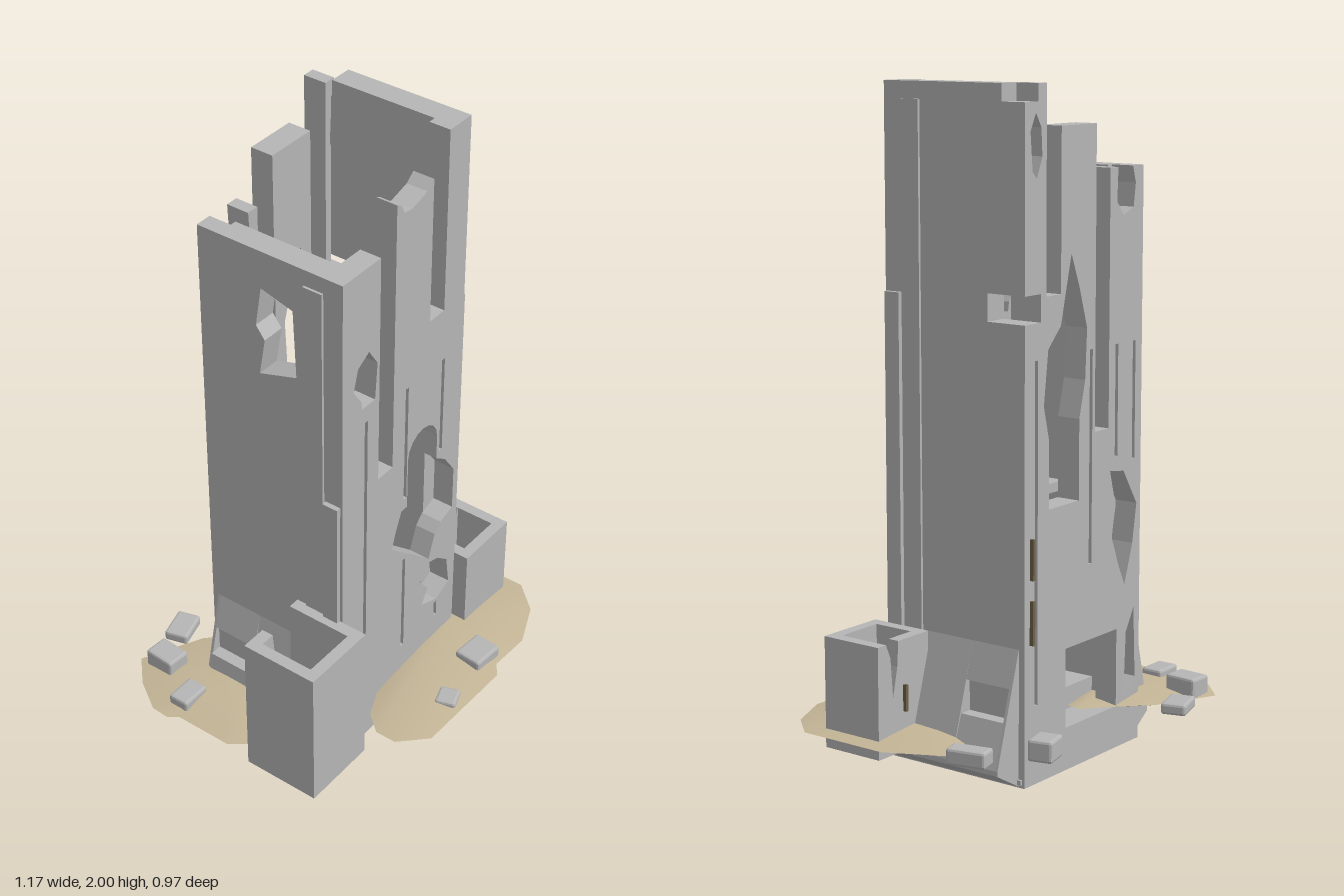
import * as THREE from 'three';
import { RoundedBoxGeometry } from 'three/addons/geometries/RoundedBoxGeometry.js';

const stone = new THREE.MeshStandardMaterial({ color: 0xb6b6b6, flatShading: true });
stone.name = 'stone';
const sand = new THREE.MeshStandardMaterial({ color: 0xc4b596, side: THREE.DoubleSide });
sand.name = 'sand';
const rust = new THREE.MeshStandardMaterial({ color: 0x6e6248 });
rust.name = 'rust';

const pts = (list) => list.map(([x, y]) => new THREE.Vector2(x, y));
const rect = (x0, x1, y0, y1) => [[x0, y0], [x1, y0], [x1, y1], [x0, y1]];

function add(group, name, geometry, material = stone) {
  const mesh = new THREE.Mesh(geometry, material);
  mesh.name = name;
  group.add(mesh);
  return mesh;
}

// Box given by its extents
function block(group, name, x0, x1, y0, y1, z0, z1, material = stone) {
  const mesh = add(group, name, new THREE.BoxGeometry(x1 - x0, y1 - y0, z1 - z0), material);
  mesh.position.set((x0 + x1) / 2, (y0 + y1) / 2, (z0 + z1) / 2);
  return mesh;
}

// Flat plate with openings, running from z0 to z1
function plate(group, name, outline, holes, z0, z1) {
  const shape = new THREE.Shape(pts(outline));
  shape.holes = holes.map((h) => new THREE.Path(pts(h)));
  const geometry = new THREE.ExtrudeGeometry(shape, { depth: z1 - z0, bevelEnabled: false });
  geometry.translate(0, 0, z0);
  return add(group, name, geometry);
}

// Plate drawn in (-z, y), running from x0 to x1
function sidePlate(group, name, outline, holes, x0, x1) {
  const mesh = plate(group, name, outline, holes, x0, x1);
  mesh.geometry.rotateY(Math.PI / 2);
  return mesh;
}

// Slit openings from [x, bottom, top]
const slits = (list) => list.map(([x, y0, y1]) => rect(x - 0.007, x + 0.007, y0, y1));

function arch(x0, x1, spring, n = 8) {
  const r = (x1 - x0) / 2;
  return Array.from({ length: n + 1 }, (_, i) => {
    const a = (Math.PI * i) / n;
    return [(x0 + x1) / 2 - r * Math.cos(a), spring + r * Math.sin(a)];
  });
}

function buildTower(tower) {
  // Front wall: broken skyline, arched window, blast holes, grooves in the outer skin
  const frontLine = [[-0.29, 0], [0.29, 0], [0.29, 2], [0.19, 2], [0.19, 1.41], [0.12, 1.41], [0.12, 1.88],
    [0.09, 1.855], [0.02, 1.835], [-0.015, 1.84], [-0.03, 1.87], [-0.05, 1.88],
    [-0.05, 0.99], [-0.12, 0.99], [-0.12, 1.75], [-0.29, 1.75]];
  const frontHoles = [
    [...arch(0.028, 0.175, 0.965), [0.175, 0.88], [0.22, 0.85], [0.27, 0.78], [0.27, 0.63], [0.21, 0.61],
      [0.18, 0.58], [0.15, 0.5], [0.06, 0.58], [-0.045, 0.67], [-0.03, 0.72], [0.0, 0.79], [0.028, 0.79]],
    [[0.13, 0.49], [0.2, 0.47], [0.25, 0.43], [0.265, 0.33], [0.2, 0.3], [0.12, 0.33], [0.15, 0.38], [0.11, 0.43]],
    [[-0.17, 1.47], [-0.13, 1.41], [-0.14, 1.29], [-0.2, 1.29], [-0.205, 1.32], [-0.24, 1.37], [-0.22, 1.44]],
  ];
  const frontSlits = slits([[-0.18, 0.235, 1.235], [0.018, 0.235, 0.59], [0.016, 0.83, 1.235],
    [0.195, 0.9, 1.235], [0.195, 0.235, 0.29]]);
  plate(tower, 'frontWall', frontLine, frontHoles, 0.16, 0.216);
  plate(tower, 'frontWallSkin', frontLine, [...frontHoles, ...frontSlits], 0.216, 0.23);

  // Back wall: same skyline with a side notch, a doorway and ragged openings
  const backLine = [[-0.29, 0], [0.29, 0], [0.29, 1.34], [0.215, 1.34], [0.215, 1.42], [0.29, 1.42],
    [0.29, 1.95], [0.23, 1.95], [0.23, 2], [0.19, 2], [0.19, 1.41], [0.12, 1.41], [0.12, 1.88], [-0.05, 1.88],
    [-0.05, 0.99], [-0.12, 0.99], [-0.12, 1.75], [-0.16, 1.75], [-0.155, 1.65], [-0.19, 1.61],
    [-0.24, 1.63], [-0.25, 1.7], [-0.235, 1.75], [-0.29, 1.75]];
  const backHoles = [
    [[0.175, 0.8], [0.028, 0.8], [0.028, 1.04], [0.0, 1.15], [-0.008, 1.3], [0.03, 1.42], [0.07, 1.52],
      [0.1, 1.4], [0.12, 1.32], [0.18, 1.26], [0.2, 1.1], [0.175, 1.0]],
    rect(-0.17, 0.09, 0.13, 0.37),
    [[-0.13, 0.86], [-0.2, 0.85], [-0.27, 0.74], [-0.25, 0.62], [-0.21, 0.5], [-0.18, 0.56], [-0.14, 0.66], [-0.16, 0.75]],
    [[-0.21, 0.15], [-0.27, 0.2], [-0.26, 0.42], [-0.22, 0.35]],
    [[0.24, 1.92], [0.265, 1.87], [0.255, 1.76], [0.235, 1.74], [0.21, 1.8], [0.215, 1.88]],
  ];
  const backSlits = slits([[-0.03, 0.6, 1.235], [-0.16, 0.9, 1.235], [-0.25, 0.88, 1.235], [0.235, 0.235, 1.235]]);
  plate(tower, 'backWall', backLine, backHoles, -0.256, -0.195);
  plate(tower, 'backWallSkin', backLine, [...backHoles, ...backSlits], -0.27, -0.256);

  // Side walls
  sidePlate(tower, 'leftWall', [[-0.16, 0], [0.195, 0], [0.195, 1.34], [0.14, 1.34], [0.14, 1.42],
    [0.195, 1.42], [0.195, 1.95], [0.19, 1.95], [0.19, 2], [-0.16, 2]], [], 0.215, 0.29);
  sidePlate(tower, 'rightWall', rect(-0.16, 0.195, 0, 1.75),
    [[[-0.07, 1.38], [-0.06, 1.6], [0.05, 1.63], [0.07, 1.5], [0.04, 1.46], [0.06, 1.34]]], -0.29, -0.215);

  // Base, floors and remains of the upper storey
  block(tower, 'base', -0.285, 0.285, 0.004, 0.12, -0.265, 0.225);
  block(tower, 'baseLip', -0.298, 0.298, 0.01, 0.025, -0.262, 0.222);
  block(tower, 'floor', -0.215, 0.215, 0.12, 0.19, -0.15, 0.16);
  block(tower, 'upperFloorFront', -0.215, 0.095, 0.76, 0.79, 0.06, 0.165);
  block(tower, 'upperFloorSide', -0.215, -0.13, 0.76, 0.79, -0.04, 0.06);

  // Pilasters and flared footings on both sides
  for (const [s, tall, low, reach] of [[1, 1.95, 1.4, 0.39], [-1, 1.7, 0.99, 0.37]]) {
    const span = (a, b) => (s > 0 ? [a, b] : [-b, -a]);
    block(tower, 'tallPilaster', ...span(0.285, 0.298), 0.02, tall, 0.1, 0.165);
    block(tower, 'lowPilaster', ...span(0.285, 0.306), 0.02, low, 0.17, 0.222);
    const full = [[0.285, 0], [reach, 0.06], [reach, 0.075], [0.29, 0.41], [0.285, 0.41]];
    const notched = [[0.285, 0], [reach, 0.06], [reach, 0.075], [0.346, 0.205], [0.306, 0.205],
      [0.306, 0.3], [0.322, 0.3], [0.29, 0.41], [0.285, 0.41]];
    const flip = (list) => list.map(([x, y]) => [s * x, y]);
    plate(tower, 'footing', flip(full), [], -0.085, 0.2);
    plate(tower, 'notchedFooting', flip(notched), [], -0.24, -0.085);
    plate(tower, 'footingEnd', flip(full), [], -0.25, -0.24);
  }
}

// Open-topped side turret with a broken back wall
function buildTurret(name, x0, x1, z0, z1, top, floor, t, backLine) {
  const g = new THREE.Group();
  g.name = name;
  block(g, 'turretFront', x0, x1, 0.08, top, z1 - t, z1);
  block(g, 'turretSideA', x0, x0 + t, 0.08, top, z0, z1 - t);
  block(g, 'turretSideB', x1 - t, x1, 0.08, top, z0, z1 - t);
  plate(g, 'turretBack', [[x0 + t, 0.08], [x1 - t, 0.08], ...backLine], [], z0, z0 + t);
  block(g, 'turretFloor', x0 + t, x1 - t, 0.08, floor, z0 + t, z1 - t);
  return g;
}

// Lens-shaped drift: outline rings shrinking to a centre, domed above and below
function drift(outline, cx, cz, up, down) {
  const n = outline.length, rings = 5, pos = [], idx = [];
  for (const [h, side] of [[up, 1], [-down, -1]]) {
    const base = pos.length / 3;
    for (let r = 0; r <= rings; r++) {
      const k = r / rings;
      for (const [x, z] of outline) pos.push(cx + (x - cx) * k, 0.13 + h * (1 - k * k), cz + (z - cz) * k);
    }
    for (let r = 0; r < rings; r++) for (let i = 0; i < n; i++) {
      const a = base + r * n + i, b = base + r * n + ((i + 1) % n);
      if (side > 0) idx.push(a, b, b + n, a, b + n, a + n);
      else idx.push(a, b + n, b, a, a + n, b + n);
    }
  }
  // Consistent order: outlines run clockwise or not, so check the signed area
  const area = outline.reduce((s, [x, z], i) => {
    const [x2, z2] = outline[(i + 1) % n];
    return s + x * z2 - x2 * z;
  }, 0);
  if (area < 0) for (let i = 0; i < idx.length; i += 3) [idx[i + 1], idx[i + 2]] = [idx[i + 2], idx[i + 1]];
  for (let i = 0; i < idx.length; i += 3) [idx[i + 1], idx[i + 2]] = [idx[i + 2], idx[i + 1]];
  const g = new THREE.BufferGeometry();
  g.setAttribute('position', new THREE.Float32BufferAttribute(pos, 3));
  g.setIndex(idx);
  g.computeVertexNormals();
  return g;
}

export function createModel() {
  const model = new THREE.Group();
  model.name = 'ruinedTower';
  const tower = new THREE.Group();
  tower.name = 'tower';
  buildTower(tower);
  model.add(tower);

  // Side turrets
  model.add(buildTurret('largeTurret', -0.545, -0.293, 0.065, 0.318, 0.56, 0.145, 0.038,
    [[-0.331, 0.22], [-0.36, 0.3], [-0.39, 0.27], [-0.42, 0.42], [-0.45, 0.46], [-0.46, 0.56], [-0.507, 0.56]]));
  model.add(buildTurret('smallTurret', 0.305, 0.53, 0.07, 0.272, 0.415, 0.1, 0.036,
    [[0.494, 0.415], [0.475, 0.37], [0.465, 0.25], [0.445, 0.34], [0.44, 0.415], [0.341, 0.415]]));

  // Sand drifts
  add(model, 'frontDrift', drift([[-0.25, 0.33], [-0.2, 0.27], [0.0, 0.18], [0.2, 0.1], [0.35, 0.03], [0.37, -0.1],
    [0.4, -0.165], [0.44, -0.185], [0.5, -0.14], [0.53, -0.08], [0.58, 0.02], [0.58, 0.31], [0.5, 0.4], [0.36, 0.46],
    [0.22, 0.455], [0.18, 0.485], [-0.17, 0.48], [-0.25, 0.4]], 0.26, 0.23, 0.025, 0.045), sand);
  add(model, 'backDrift', drift([[-0.44, -0.455], [-0.35, -0.41], [-0.25, -0.36], [-0.17, -0.28], [-0.08, -0.2],
    [-0.09, -0.152], [-0.2, -0.1], [-0.28, 0.08], [-0.35, 0.15], [-0.48, 0.12], [-0.52, 0.06], [-0.565, 0.0],
    [-0.565, -0.19], [-0.588, -0.22], [-0.585, -0.28], [-0.52, -0.38]], -0.38, -0.15, 0.025, 0.045), sand);

  // Fallen blocks: x, z, width, depth, turn in degrees, bottom, top
  for (const [x, z, w, d, turn, y0, y1] of [
    [-0.41, -0.37, 0.08, 0.105, -4, 0.125, 0.19], [-0.26, -0.435, 0.11, 0.078, 16, 0.125, 0.16],
    [-0.49, -0.217, 0.1, 0.07, 0, 0.12, 0.17], [0.333, -0.375, 0.086, 0.075, 14, 0.125, 0.19],
    [0.49, -0.228, 0.062, 0.122, 13, 0.12, 0.17], [-0.003, 0.423, 0.072, 0.066, 19, 0.125, 0.15],
    [0.207, 0.39, 0.11, 0.092, -4, 0.125, 0.17],
  ]) {
    const m = add(model, 'fallenBlock', new RoundedBoxGeometry(w, y1 - y0, d, 1, 0.008));
    m.position.set(x, (y0 + y1) / 2, z);
    m.rotation.y = THREE.MathUtils.degToRad(turn);
  }

  // Rusted rods on the back faces
  for (const [x, z, y0, y1] of [[0.26, -0.278, 0.42, 0.55], [0.26, -0.278, 0.61, 0.73],
    [0.415, 0.063, 0.2, 0.28], [-0.42, 0.052, 0.3, 0.42]]) {
    block(model, 'rustedRod', x - 0.005, x + 0.005, y0, y1, z - 0.004, z + 0.008, rust);
  }
  return model;
}
